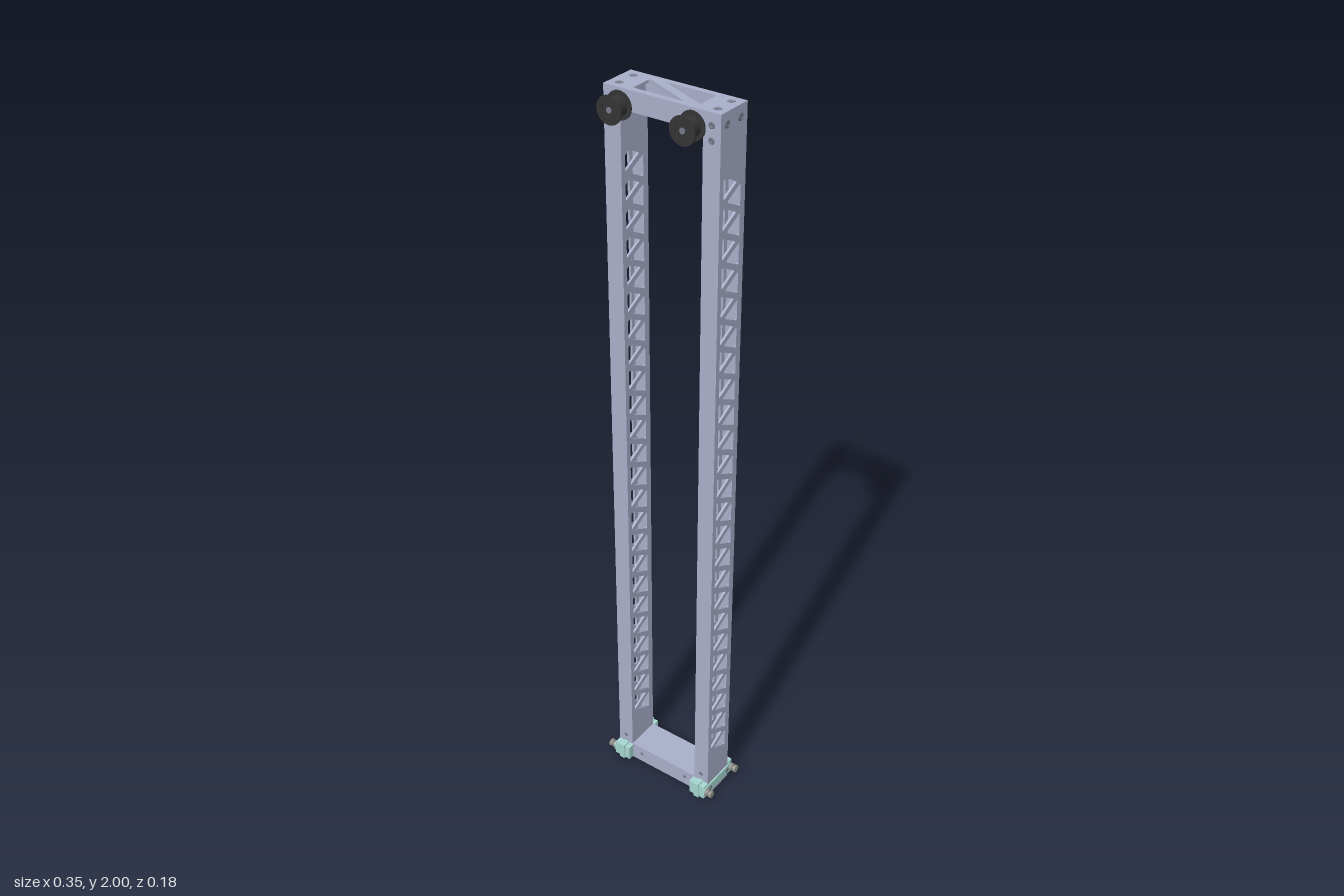
import * as THREE from 'three';

const paint = (name, color) => Object.assign(new THREE.MeshStandardMaterial({ color }), { name });

export function createModel() {
  const aluminium = paint('anodised aluminium', 0xa9afca);
  const teal = paint('pale teal plastic', 0xa6d6d0);
  const black = paint('black plastic', 0x343434);
  const steel = paint('steel', 0x94948f);
  const screwGrey = paint('dark screw grey', 0x747988);

  const root = new THREE.Group();
  root.name = 'elevatorFrame';
  const WALL = 0.006, X0 = 0.108, X1 = 0.153, Z0 = -0.068, Z1 = 0.03, H = 2, BAR = 0.048;
  const ZC = (Z0 + Z1) / 2, D = Z1 - Z0;

  const add = (name, geo, mat, x = 0, y = 0, z = 0, parent = root) => {
    const m = new THREE.Mesh(geo, mat);
    m.name = name;
    m.position.set(x, y, z);
    parent.add(m);
    return m;
  };
  const box = (name, mat, x0, x1, y0, y1, z0, z1, parent) =>
    add(name, new THREE.BoxGeometry(x1 - x0, y1 - y0, z1 - z0), mat,
      (x0 + x1) / 2, (y0 + y1) / 2, (z0 + z1) / 2, parent);

  // Outline with corners softened by a short curve
  const softPath = (pts, r, PathType = THREE.Path) => {
    const v = pts.map(p => new THREE.Vector2(...p));
    const path = new PathType();
    v.forEach((p, i) => {
      const prev = v[(i + v.length - 1) % v.length], next = v[(i + 1) % v.length];
      const a = p.clone().add(prev.clone().sub(p).setLength(r));
      const b = p.clone().add(next.clone().sub(p).setLength(r));
      if (i === 0) path.moveTo(a.x, a.y); else path.lineTo(a.x, a.y);
      path.quadraticCurveTo(p.x, p.y, b.x, b.y);
    });
    path.closePath();
    return path;
  };
  const circle = (x, y, r) => new THREE.Path().absarc(x, y, r, 0, Math.PI * 2, true);
  const rect = (x0, y0, x1, y1) => new THREE.Shape(
    [[x0, y0], [x1, y0], [x1, y1], [x0, y1]].map(p => new THREE.Vector2(...p)));
  const extrude = (shape, depth) =>
    new THREE.ExtrudeGeometry(shape, { depth, bevelEnabled: false, curveSegments: 3 });

  // Socket screw head facing +y
  const screwGeo = new THREE.LatheGeometry(
    [[0.0105, 0], [0.0105, 0.001], [0.008, 0.0025], [0.005, 0.0025], [0.005, 0.0006], [0, 0.0006]]
      .map(p => new THREE.Vector2(...p)), 20);
  const screw = (x, y, z, axis, sign, scale = 1) => {
    const m = add('screw', screwGeo, screwGrey, x, y, z);
    m.scale.setScalar(scale);
    if (axis === 'x') m.rotation.z = -sign * Math.PI / 2;
    if (axis === 'z') m.rotation.x = sign * Math.PI / 2;
  };

  // Side wall of an upright, with alternating triangular cut-outs
  const wall = rect(Z0, 0, Z1, H - WALL);
  const PITCH = 0.0708;
  for (let i = 0; i < 24; i++) {
    const y = 1.83 - i * PITCH, y2 = y - PITCH / 2;
    wall.holes.push(softPath([[0.016, y - 0.027], [0.016, y + 0.027], [-0.036, y]], 0.004));
    wall.holes.push(softPath([[-0.05, y2 + 0.027], [-0.05, y2 - 0.027], [0.002, y2]], 0.004));
  }
  const wallGeo = extrude(wall, WALL).rotateY(-Math.PI / 2).translate(WALL, 0, 0);

  // Hollow uprights
  for (const s of [1, -1]) {
    const upright = new THREE.Group();
    upright.name = s > 0 ? 'leftUpright' : 'rightUpright';
    root.add(upright);
    const lo = s > 0 ? X0 : -X1, hi = s > 0 ? X1 : -X0;
    add('lattice wall', wallGeo, aluminium, lo, 0, 0, upright);
    add('lattice wall', wallGeo, aluminium, hi - WALL, 0, 0, upright);
    box('front wall', aluminium, lo + WALL, hi - WALL, 0, H - WALL, Z1 - WALL, Z1, upright);
    box('back wall', aluminium, lo + WALL, hi - WALL, 0, H - WALL, Z0, Z0 + WALL, upright);
    box('bottom plug', aluminium, lo + WALL, hi - WALL, 0, BAR, Z0 + WALL, Z1 - WALL, upright);

    // Screws at the joints
    for (const z of [-0.045, 0.005]) {
      screw(s * 0.128, H - 0.004, z, 'y', 1);
      screw(s * X1, 1.973, z + 0.003, 'x', s, 0.9);
    }
    for (const [z, f] of [[Z1, 1], [Z0, -1]]) {
      screw(s * 0.13, 1.938, z, 'z', f, 0.75);
      screw(s * 0.13, 1.972, z, 'z', f, 0.75);
      screw(s * 0.13, 0.076, z, 'z', f, 0.6);
      screw(s * 0.075, 0.03, z, 'z', f, 0.5);
    }
  }

  // Top crossbar: each skin has one diagonal brace, crossing the other
  const skin = (half, flip, screwHoles) => {
    const shape = rect(-half, -Z1, half, -Z0);
    const tris = [[[-0.085, 0.046], [-0.085, -0.014], [0.05, -0.014]],
      [[-0.05, 0.053], [0.085, 0.053], [0.085, -0.007]]];
    for (const t of tris) shape.holes.push(softPath(t.map(([x, y]) => [x * flip, y]), 0.006));
    if (screwHoles) for (const x of [-0.128, 0.128]) for (const y of [-0.005, 0.045])
      shape.holes.push(circle(x, y, 0.0105));
    return extrude(shape, WALL).rotateX(-Math.PI / 2);
  };
  add('top skin', skin(X1, 1, true), aluminium, 0, H - WALL, 0);
  add('lower skin', skin(X0, -1, false), aluminium, 0, H - BAR, 0);
  box('crossbar front', aluminium, -X0, X0, H - BAR + WALL, H - WALL, Z1 - WALL, Z1);
  box('crossbar back', aluminium, -X0, X0, H - BAR + WALL, H - WALL, Z0, Z0 + WALL);

  // Bottom crossbar
  box('bottom crossbar', aluminium, -X0, X0, 0.002, 0.053, Z0, Z1);

  // Flanged pulleys on short shafts
  const pulleyGeo = new THREE.LatheGeometry(
    [[0, 0], [0.033, 0], [0.033, 0.003], [0.023, 0.003], [0.023, 0.035], [0.033, 0.035],
      [0.033, 0.038], [0.018, 0.038], [0.018, 0.036], [0, 0.036]]
      .map(p => new THREE.Vector2(...p)).reverse(), 32).rotateX(Math.PI / 2);
  // The profile runs from the rim centre outward, so flip to face outward
  const outward = geo => {
    const p = geo.index.array;
    for (let i = 0; i < p.length; i += 3) [p[i], p[i + 1]] = [p[i + 1], p[i]];
    return geo;
  };
  const drum = outward(pulleyGeo).toNonIndexed();
  drum.computeVertexNormals();
  for (const s of [1, -1]) {
    const pulley = new THREE.Group();
    pulley.name = s > 0 ? 'leftPulley' : 'rightPulley';
    pulley.position.set(s * 0.095, 1.97, 0);
    root.add(pulley);
    add('shaft', new THREE.CylinderGeometry(0.01, 0.01, 0.022, 20).rotateX(Math.PI / 2),
      aluminium, 0, 0, 0.039, pulley);
    add('drum', drum, black, 0, 0, 0.049, pulley);
    add('shaft end', new THREE.CylinderGeometry(0.007, 0.007, 0.002, 16).rotateX(Math.PI / 2),
      screwGrey, 0, 0, 0.086, pulley);
  }

  // Guide blocks wrapping the foot of each upright
  const side = softPath([[-0.084, 0.014], [0.052, 0.014], [0.052, 0.044], [-0.084, 0.044]], 0.01, THREE.Shape);
  const sideGeo = extrude(side, 0.004).rotateY(-Math.PI / 2).translate(0.004, 0, 0);
  const rollerGeo = new THREE.LatheGeometry(
    [[0, 0], [0.005, 0], [0.005, 0.004], [0.0105, 0.004], [0.0105, 0.011], [0.006, 0.012],
      [0.006, 0.015], [0.0105, 0.016], [0.0105, 0.023], [0, 0.023]]
      .map(p => new THREE.Vector2(...p)), 20).toNonIndexed();
  rollerGeo.computeVertexNormals();
  for (const s of [1, -1]) {
    const guide = new THREE.Group();
    guide.name = s > 0 ? 'leftGuide' : 'rightGuide';
    root.add(guide);
    const lo = s > 0 ? 0.105 : -0.154, hi = s > 0 ? 0.154 : -0.105, mid = s * 0.129;
    box('front block', teal, lo, hi, 0.008, 0.05, Z1, 0.05, guide);
    box('front boss', teal, mid - 0.008, mid + 0.008, 0.004, 0.053, Z1, 0.053, guide);
    box('back block', teal, lo, hi, 0.008, 0.05, -0.088, Z0, guide);
    box('back boss', teal, mid - 0.008, mid + 0.008, 0.004, 0.053, -0.091, Z0, guide);
    add('side strap', sideGeo, teal, s > 0 ? X1 : -X1 - 0.004, 0, 0, guide);
    for (const z of [0.041, -0.08]) {
      const roller = add('adjusting bolt', rollerGeo, steel, s * X1, 0.029, z, guide);
      roller.rotation.z = -s * Math.PI / 2;
    }
    // Strap screws
    for (const z of [Z0 + 0.008, Z1 - 0.008]) screw(s * (X1 + 0.004), 0.029, z, 'x', s, 0.7);
  }

  return root;
}
